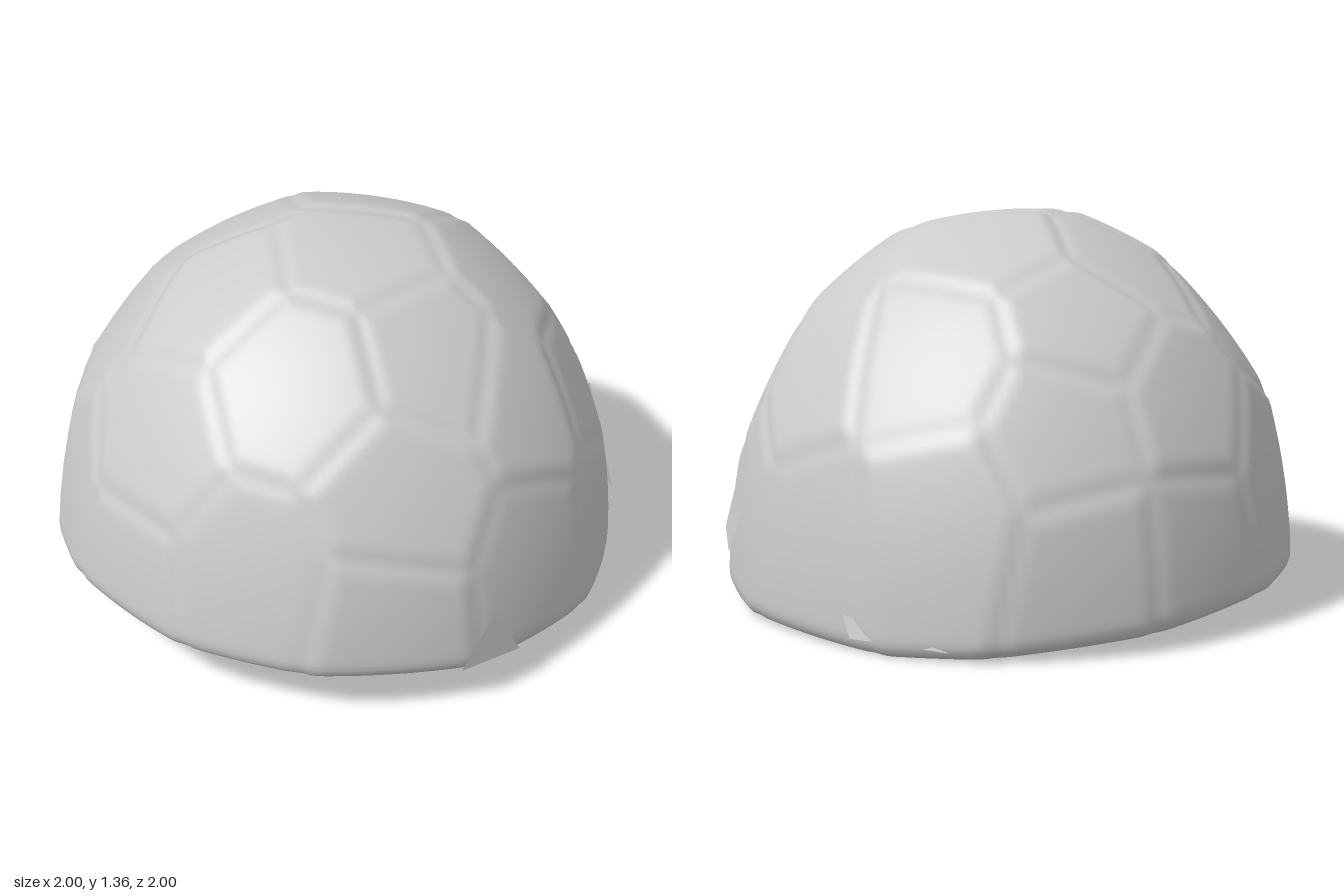
import * as THREE from 'three';

// Plate centres of the crown, given as [x, z] on a unit dome
const CROWN = [
  [0.15, 0.07], [-0.14, -0.33], [-0.46, 0.01], [-0.21, 0.41], [0.28, 0.55], [0.56, 0.18],
  [0.45, -0.38], [-0.16, -0.75], [-0.54, -0.41], [0.31, -0.79], [-0.62, 0.38],
  [0.78, -0.06], [0.74, -0.46]
];
// [azimuth, elevation] in degrees of the lower plates (azimuth 0 = front, 90 = left)
const LOWER = [
  [-10, 32], [53, 30], [-135, 27], [-105, 29],
  [-10, 10], [20, 15], [48, 9], [83, 11], [113, 9], [142, 11], [168, 7],
  [-161, 12], [-131, 5], [-107, 6], [-80, 13], [-58, 9], [-36, 14]
];
const CENTRE_Y = 0.205;
const STRETCH_Y = 1.16;
const WALL = 0.05;
const LIP = 0.1;

function polar(azimuth, elevation) {
  const c = Math.cos(elevation);
  return new THREE.Vector3(c * Math.sin(azimuth), Math.sin(elevation), c * Math.cos(azimuth));
}

// From the unit dome to the taller finished dome
function place(dir, radius) {
  return new THREE.Vector3(dir.x * radius, dir.y * radius * STRETCH_Y + CENTRE_Y, dir.z * radius);
}

function makePlates() {
  const rad = THREE.MathUtils.degToRad;
  const dirs = [
    ...CROWN.map(([x, z]) => new THREE.Vector3(x, Math.sqrt(1 - x * x - z * z), z)),
    ...LOWER.map(([az, el]) => polar(rad(az), rad(el)))
  ];
  // Each plate sits at a slightly different height
  return dirs.map((dir, i) => ({ dir, height: 0.98 + 0.006 * Math.sin(i * 2.4) }));
}

// Radius of the plated surface: gently domed plates divided by shallow grooves
function plateRadius(plates, d, groove) {
  let first = -2, second = -2, a = null, b = null;
  for (const p of plates) {
    const dot = p.dir.dot(d);
    if (dot > first) { second = first; b = a; first = dot; a = p; }
    else if (dot > second) { second = dot; b = p; }
  }
  let sum = 0, total = 0;
  for (const p of plates) {
    const dot = p.dir.dot(d);
    const w = Math.exp((dot - first) * 140);
    if (w < 1e-4) continue;
    sum += w * p.height * (0.55 + 0.45 / dot);
    total += w;
  }
  const edge = (first - second) / a.dir.distanceTo(b.dir);
  return sum / total - groove * Math.exp(-((edge / 0.03) ** 2));
}

// Closed skin: outside from crown to rim, around the curled lip, inside back to the crown
function shellGeometry(plates) {
  const around = 240, outer = 84, lip = 10, inner = 50;
  const rows = outer + lip + inner;
  const positions = [], index = [];
  for (let j = 0; j <= rows; j++) {
    for (let i = 0; i < around; i++) {
      const az = (i / around) * Math.PI * 2;
      const rim = Math.asin(-0.094 + 0.09 * Math.cos(az));
      const top = Math.PI / 2;
      let el, depth = 0, groove = 0.01;
      if (j <= outer) {
        el = THREE.MathUtils.lerp(top, rim + 0.06, j / outer);
      } else if (j <= outer + lip) {
        const t = ((j - outer) / lip) * Math.PI;
        el = rim + 0.06 - 0.06 * Math.sin(t);
        depth = LIP * (1 - Math.cos(t)) / 2;
      } else {
        el = THREE.MathUtils.lerp(rim + 0.06, top, (j - outer - lip) / inner);
        depth = THREE.MathUtils.lerp(LIP, WALL, THREE.MathUtils.smoothstep(el - rim, 0.06, 0.22));
        groove = 0.005;
      }
      const d = polar(az, el);
      positions.push(...place(d, plateRadius(plates, d, groove) - depth).toArray());
    }
  }
  for (let j = 0; j < rows; j++) {
    for (let i = 0; i < around; i++) {
      const a = j * around + i, b = j * around + (i + 1) % around;
      const c = a + around, e = b + around;
      if (j > 0) index.push(a, e, b);
      if (j < rows - 1) index.push(a, c, e);
    }
  }
  const g = new THREE.BufferGeometry();
  g.setAttribute('position', new THREE.Float32BufferAttribute(positions, 3));
  g.setIndex(index);
  g.computeVertexNormals();
  return g;
}

// Thin splinter lying on the shell; corners are [azimuth, height, lift]
function splinterGeometry(plates, corners) {
  const pts = corners.map(([deg, y, lift]) => {
    const d = polar(THREE.MathUtils.degToRad(deg), Math.asin((y - CENTRE_Y) / STRETCH_Y));
    return place(d, plateRadius(plates, d, 0) + lift);
  });
  const g = new THREE.BufferGeometry().setFromPoints(pts);
  g.setIndex(pts.length === 4 ? [0, 1, 3, 1, 2, 3] : [0, 1, 2]);
  g.computeVertexNormals();
  return g;
}

export function createModel() {
  const group = new THREE.Group();
  group.name = 'platedDome';
  const material = new THREE.MeshStandardMaterial({ color: 0xcccccc });
  const thin = new THREE.MeshStandardMaterial({ color: 0xcccccc, side: THREE.DoubleSide });
  const add = (name, geometry, mat) => {
    const mesh = new THREE.Mesh(geometry, mat);
    mesh.name = name;
    group.add(mesh);
  };

  const plates = makePlates();
  add('shell', shellGeometry(plates), material);

  // Cracked plate edges standing slightly proud of the shell
  const splinters = {
    frontSplinter: [[2, 0.57, 0.005], [6, 0.34, 0.005], [9, 0.37, 0.02]],
    backLeftSplinter: [[138, 0.6, 0.01], [129, 0.24, 0.015], [139, 0.19, 0.025], [149, 0.42, 0.02]],
    leftSplinter: [[62, 0.17, 0.01], [76, 0.15, 0.01], [70, 0.34, 0.01]],
    backRimSplinter: [[-158, 0.04, 0.01], [-178, 0.05, 0.015], [-180, 0.12, 0.01]]
  };
  for (const [name, corners] of Object.entries(splinters)) {
    add(name, splinterGeometry(plates, corners), thin);
  }
  return group;
}
